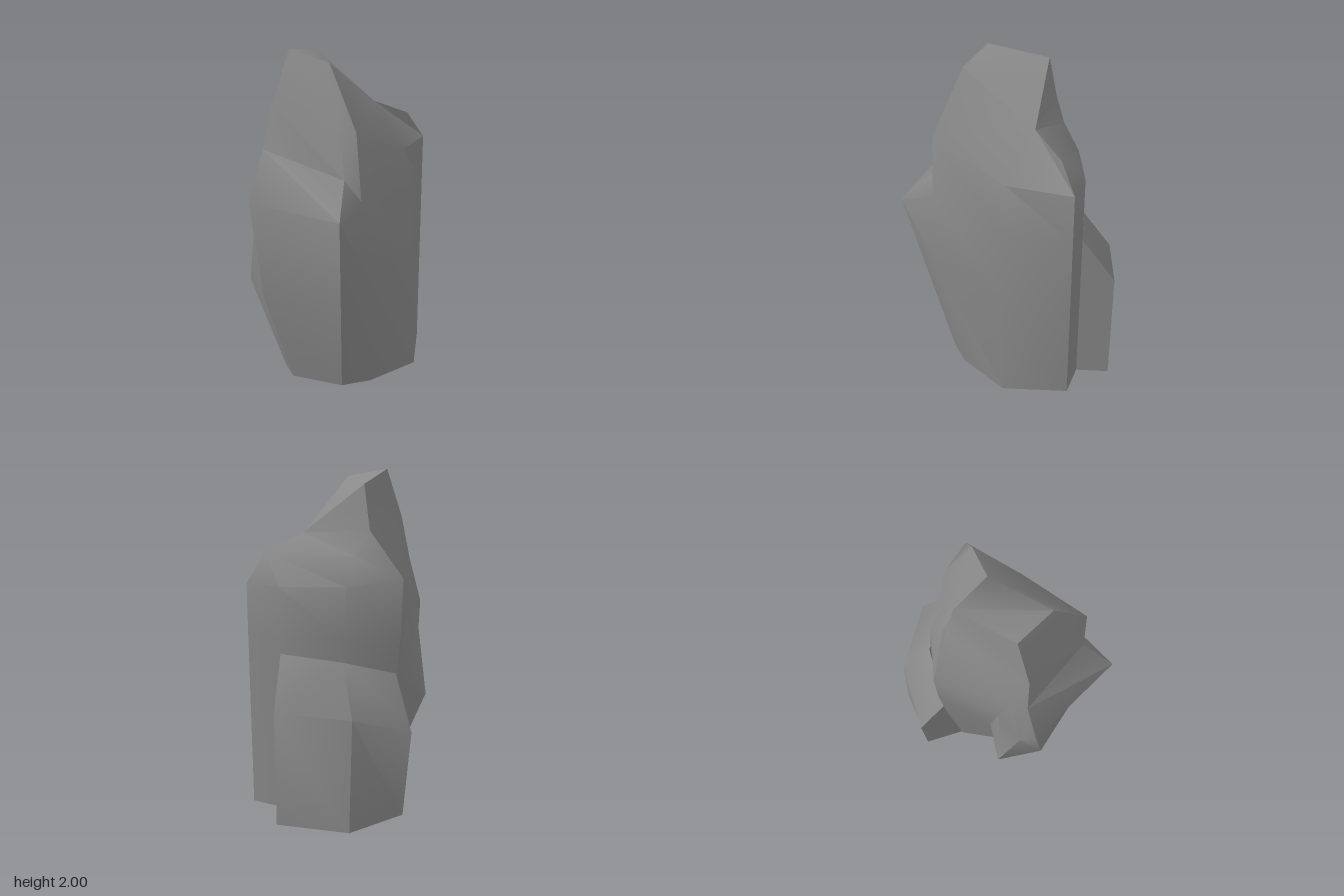
import * as THREE from 'three';
import { toCreasedNormals } from 'three/addons/utils/BufferGeometryUtils.js';

// Skins a stack of equally sized rings and closes both ends; repeated points collapse to triangles.
function loft(rings) {
  const out = [];
  const same = (a, b) => a.every((v, i) => Math.abs(v - b[i]) < 1e-6);
  const tri = (a, b, c) => {
    if (!same(a, b) && !same(b, c) && !same(a, c)) out.push(...a, ...b, ...c);
  };
  const n = rings[0].length;
  for (let r = 0; r < rings.length - 1; r++) {
    const low = rings[r], high = rings[r + 1];
    for (let i = 0; i < n; i++) {
      const j = (i + 1) % n;
      tri(low[i], low[j], high[i]);
      tri(low[j], high[j], high[i]);
    }
  }
  const base = rings[0], top = rings[rings.length - 1];
  for (let i = 1; i < n - 1; i++) {
    tri(base[0], base[i + 1], base[i]);
    tri(top[0], top[i], top[i + 1]);
  }
  const geometry = new THREE.BufferGeometry();
  geometry.setAttribute('position', new THREE.Float32BufferAttribute(out, 3));
  return toCreasedNormals(geometry, 0.68);
}

export function createModel() {
  const model = new THREE.Group();
  model.name = 'rock';
  const stone = new THREE.MeshStandardMaterial({ color: 0x8a8a8a });
  stone.name = 'stone grey';

  const add = (name, rings) => {
    const mesh = new THREE.Mesh(loft(rings), stone);
    mesh.name = name;
    model.add(mesh);
  };

  // Corners shared by several rings of the main boulder
  const brow = [-0.1, 1.585, 0.48];
  const saddle = [0.23, 1.66, -0.01];
  const shoulder = [0.475, 1.565, -0.045];
  const cheek = [-0.5, 1.435, 0.045];
  const temple = [-0.445, 1.7, 0.06];
  const peak = [-0.32, 2, 0.02];
  const frontPeak = [-0.165, 1.94, 0.25];
  const backPeak = [-0.05, 1.955, -0.25];

  // Rings run front, right, back, left
  const foot = [
    [0.04, 0, 0.395], [0.395, 0, 0.29], [0.6, 0, -0.06], [0.455, 0, -0.215], [0.147, 0, -0.4],
    [-0.17, 0, -0.31], [-0.29, 0, -0.02], [-0.375, 0, 0], [-0.38, 0, 0.16], [-0.145, 0, 0.385],
  ];
  const waist = [
    [-0.06, 0.8, 0.54], [0.395, 0.72, 0.29], [0.6, 0.7, -0.06], [0.455, 0.7, -0.215], [0.147, 0.7, -0.405],
    [-0.2, 0.7, -0.39], [-0.35, 0.75, -0.14], [-0.55, 0.57, -0.135], [-0.555, 0.56, 0.15], [-0.205, 0.57, 0.513],
  ];
  const chest = [
    [-0.08, 1.2, 0.51], [0.35, 1.1, 0.252], [0.6, 1.1, -0.06], [0.455, 1.1, -0.215], [0.14, 1.1, -0.4],
    [-0.215, 1.1, -0.42], [-0.41, 1.1, -0.1], [-0.555, 0.98, 0], [-0.605, 1.135, 0.08], [-0.265, 1.135, 0.64],
  ];
  const neck = [
    brow, [0.315, 1.4, 0.22], [0.6, 1.4, -0.06], [0.455, 1.4, -0.215], [0.11, 1.4, -0.375],
    [-0.22, 1.435, -0.427], [-0.45, 1.435, -0.04], cheek, cheek, [-0.165, 1.32, 0.465],
  ];
  const crown = [
    brow, saddle, shoulder, shoulder, [0.03, 1.56, -0.315],
    [-0.06, 1.7, -0.31], temple, temple, temple, [-0.165, 1.7, 0.37],
  ];
  const summit = [
    frontPeak, saddle, saddle, saddle, saddle, backPeak, peak, peak, peak, frontPeak,
  ];
  add('mainBoulder', [foot, waist, chest, neck, crown, summit]);

  // Lower slab with a sloping top, leaning on the back
  add('backSlab', [
    [[0.147, 0, -0.38], [0.455, 0, -0.215], [0.56, 0, -0.39], [0.2, 0, -0.64], [-0.18, 0, -0.57], [-0.16, 0, -0.3]],
    [[0.147, 0.97, -0.413], [0.455, 1, -0.215], [0.56, 0.715, -0.39], [0.17, 0.69, -0.605],
      [-0.22, 0.54, -0.58], [-0.2, 0.85, -0.4]],
  ]);

  return model;
}
